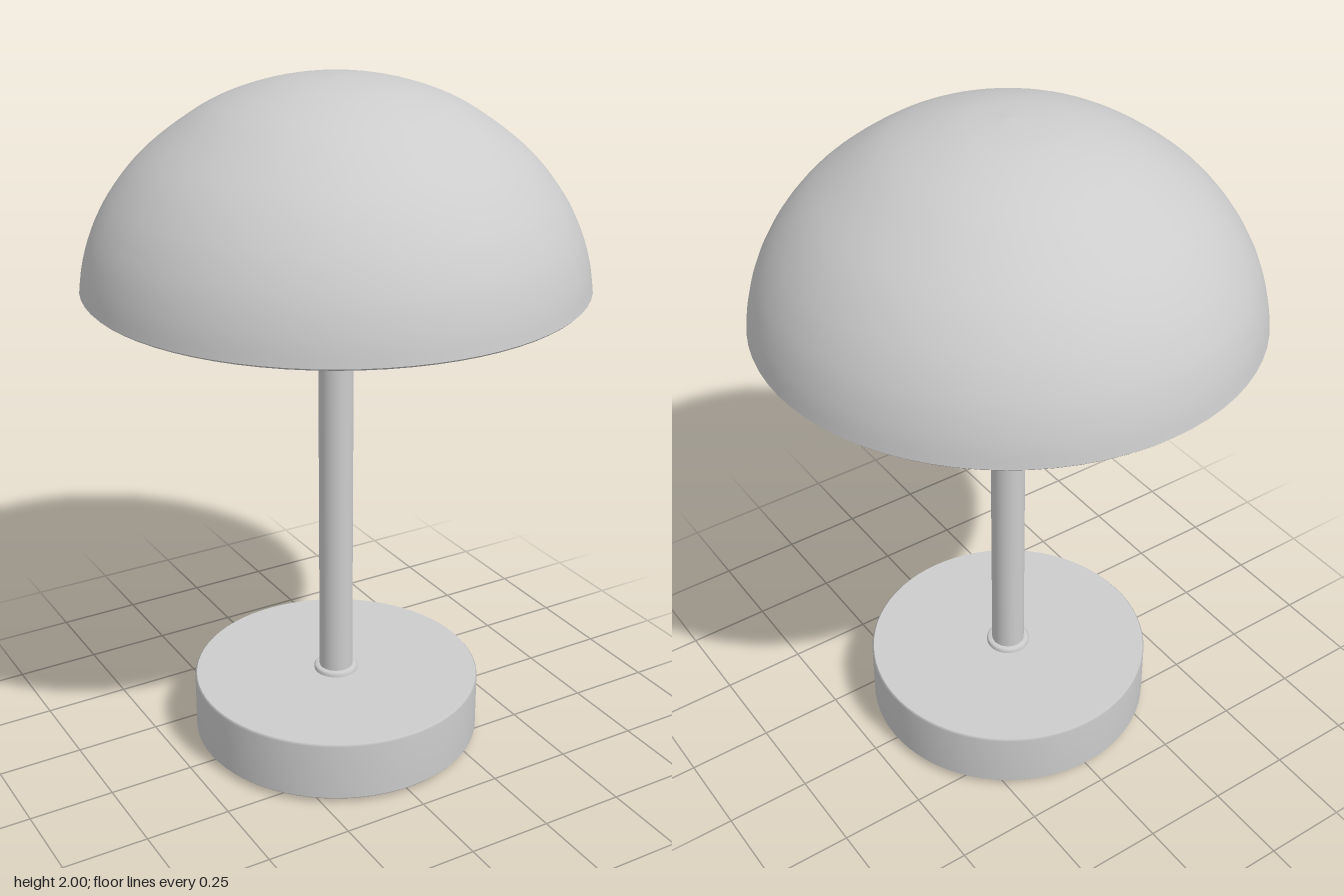
import * as THREE from 'three';

const SEG = 72;

export function createModel() {
  const lamp = new THREE.Group();
  lamp.name = 'tableLamp';
  const grey = new THREE.MeshStandardMaterial({ color: 0xcccccc });
  grey.name = 'light grey';

  const add = (name, geometry, x = 0, y = 0, z = 0) => {
    const mesh = new THREE.Mesh(geometry, grey);
    mesh.name = name;
    mesh.position.set(x, y, z);
    lamp.add(mesh);
    return mesh;
  };
  const disc = (r, y0, y1) => new THREE.CylinderGeometry(r, r, y1 - y0, SEG).translate(0, (y0 + y1) / 2, 0);
  const lathe = (points) => new THREE.LatheGeometry(points.map(([r, y]) => new THREE.Vector2(r, y)), SEG);

  // Domed shade: a smooth curve from the rim to the crown
  const curve = new THREE.SplineCurve([
    [0.705, 1.435], [0.692, 1.51], [0.662, 1.6], [0.605, 1.7], [0.517, 1.8],
    [0.382, 1.9], [0.27, 1.953], [0.14, 1.988], [0, 2],
  ].map(([r, y]) => new THREE.Vector2(r, y)));
  const dome = curve.getPoints(40).map((p) => [Math.max(p.x, 0), p.y]);
  dome[dome.length - 1] = [0, 2];
  add('shadeDome', lathe(dome));

  // Flat rim, with the closing panel set slightly inside it
  add('shadeRim', lathe([[0.61, 1.43], [0.7, 1.43], [0.705, 1.435]]));
  add('shadeRimInner', lathe([[0.61, 1.436], [0.61, 1.43]]));
  add('shadePanel', lathe([[0, 1.434], [0.61, 1.434]]));

  // Stem with a collar at each end
  add('stem', disc(0.05, 0.19, 1.44));
  add('stemTopCollar', disc(0.056, 1.422, 1.436));
  add('stemBaseCollar', lathe([[0.066, 0.19], [0.066, 0.204], [0.061, 0.21], [0.045, 0.21]]));

  // Round base with small softened edges
  add('baseSide', lathe([[0.425, 0.014], [0.43, 0.02], [0.43, 0.19], [0.425, 0.196]]));
  add('baseTop', lathe([[0.425, 0.196], [0, 0.196]]));
  add('baseBottom', lathe([[0, 0.014], [0.425, 0.014]]));

  // Four round feet
  for (let i = 0; i < 4; i++) {
    const a = 0.71 + (i * Math.PI) / 2;
    add('foot', new THREE.CylinderGeometry(0.04, 0.04, 0.018, 24),
      0.365 * Math.cos(a), 0.009, 0.365 * Math.sin(a));
  }
  return lamp;
}
